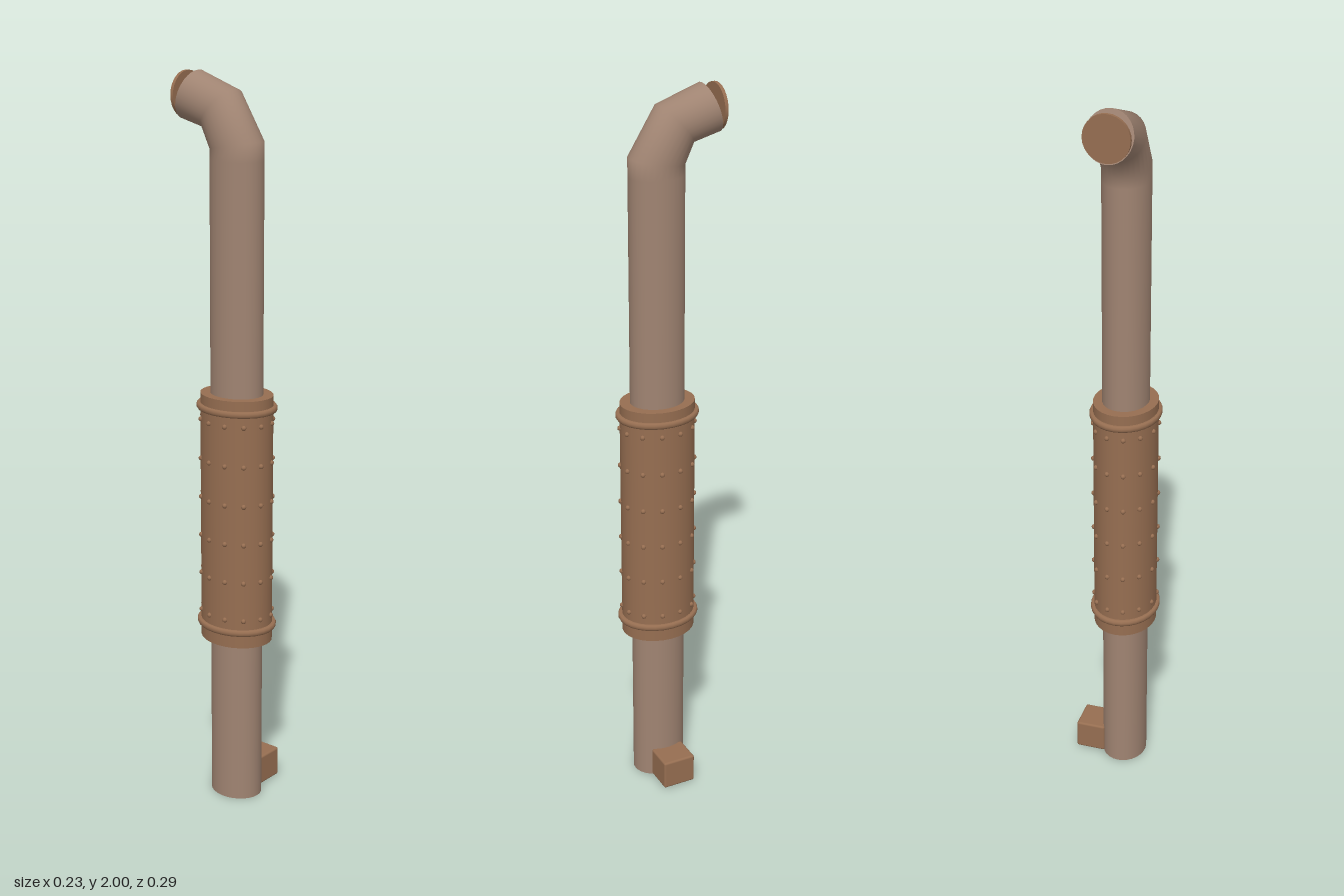
import * as THREE from 'three';
import { RoundedBoxGeometry } from 'three/addons/geometries/RoundedBoxGeometry.js';

const CX = -0.02, CZ = 0.027; // stack axis
const RX = 0.063, RZ = 0.075; // oval pipe radii
const SX = 0.087, SZ = 0.104; // oval sleeve radii

// Skin a pipe through rings given as [frontZ, frontY, backZ, backY]
function pipeGeometry(rings, sides) {
  const pos = [], index = [];
  for (const [fz, fy, bz, by] of rings) {
    for (let i = 0; i < sides; i++) {
      const a = (i / sides) * Math.PI * 2, c = Math.cos(a);
      pos.push(CX + RX * Math.sin(a), (fy + by) / 2 + (c * (fy - by)) / 2, (fz + bz) / 2 + (c * (fz - bz)) / 2);
    }
  }
  for (let r = 0; r < rings.length - 1; r++) {
    for (let i = 0; i < sides; i++) {
      const a = r * sides + i, b = r * sides + ((i + 1) % sides);
      index.push(a, b, b + sides, a, b + sides, a + sides);
    }
  }
  // End caps with their own vertices, so the rims stay crisp
  for (const [r, top] of [[0, false], [rings.length - 1, true]]) {
    const base = pos.length / 3;
    pos.push(...pos.slice(r * sides * 3, (r + 1) * sides * 3));
    for (let i = 1; i < sides - 1; i++) {
      if (top) index.push(base, base + i, base + i + 1);
      else index.push(base, base + i + 1, base + i);
    }
  }
  const geo = new THREE.BufferGeometry();
  geo.setAttribute('position', new THREE.Float32BufferAttribute(pos, 3));
  geo.setIndex(index);
  geo.computeVertexNormals();
  return geo;
}

export function createModel() {
  const model = new THREE.Group();
  const pipeMat = new THREE.MeshStandardMaterial({ color: 0xa08472 });
  pipeMat.name = 'dusty pipe metal';
  const rustMat = new THREE.MeshStandardMaterial({ color: 0x966e51 });
  rustMat.name = 'rusty brown metal';

  function add(name, geo, mat, x, y, z, parent = model) {
    const mesh = new THREE.Mesh(geo, mat);
    mesh.name = name;
    mesh.position.set(x, y, z);
    parent.add(mesh);
    return mesh;
  }

  // Oval pipe with a two-step bend towards the back
  const f = CZ + RZ, b = CZ - RZ;
  add('pipe', pipeGeometry([
    [f, 0, b, 0],
    [f, 1.78, b, 1.78],
    [f, 1.83, b, 1.805],
    [0.022, 1.957, -0.07, 1.855],
    [-0.1, 2.0, -0.143, 1.873],
  ], 28), pipeMat, 0, 0, 0);

  // Heat sleeve around the middle
  add('sleeve', new THREE.CylinderGeometry(1, 1, 0.695, 28), rustMat, CX, 0.8175, CZ).scale.set(SX, 1, SZ);

  // Clamp bands near the sleeve ends
  const bandProfile = [[0.99, -0.008], [1.08, -0.008], [1.11, -0.003], [1.11, 0.003], [1.08, 0.008], [0.99, 0.008]]
    .map(([r, y]) => new THREE.Vector2(r, y));
  for (const y of [0.515, 1.13]) {
    add('clampBand', new THREE.LatheGeometry(bandProfile, 28), rustMat, CX, y, CZ).scale.set(SX, 1, SZ);
  }

  // Rows of rivets
  const rivets = new THREE.Group();
  rivets.name = 'rivets';
  model.add(rivets);
  const rivetGeo = new THREE.SphereGeometry(0.007, 8, 6);
  for (let row = 0; row < 6; row++) {
    for (let i = 0; i < 12; i++) {
      const a = ((i + 0.5) / 12) * Math.PI * 2;
      add('rivet', rivetGeo, rustMat, CX + SX * Math.sin(a), 0.549 + row * 0.109, CZ + SZ * Math.cos(a), rivets);
    }
  }

  // Rain flap standing upright behind the outlet
  const flap = add('rainFlap', new THREE.CylinderGeometry(0.061, 0.061, 0.009, 28), rustMat, CX, 1.937, -0.139);
  flap.rotation.x = Math.PI / 2;

  // Mounting block at the foot
  add('mountingBlock', new RoundedBoxGeometry(0.085, 0.085, 0.096, 2, 0.006), rustMat, 0.0725, 0.046, 0.0255);

  return model;
}
